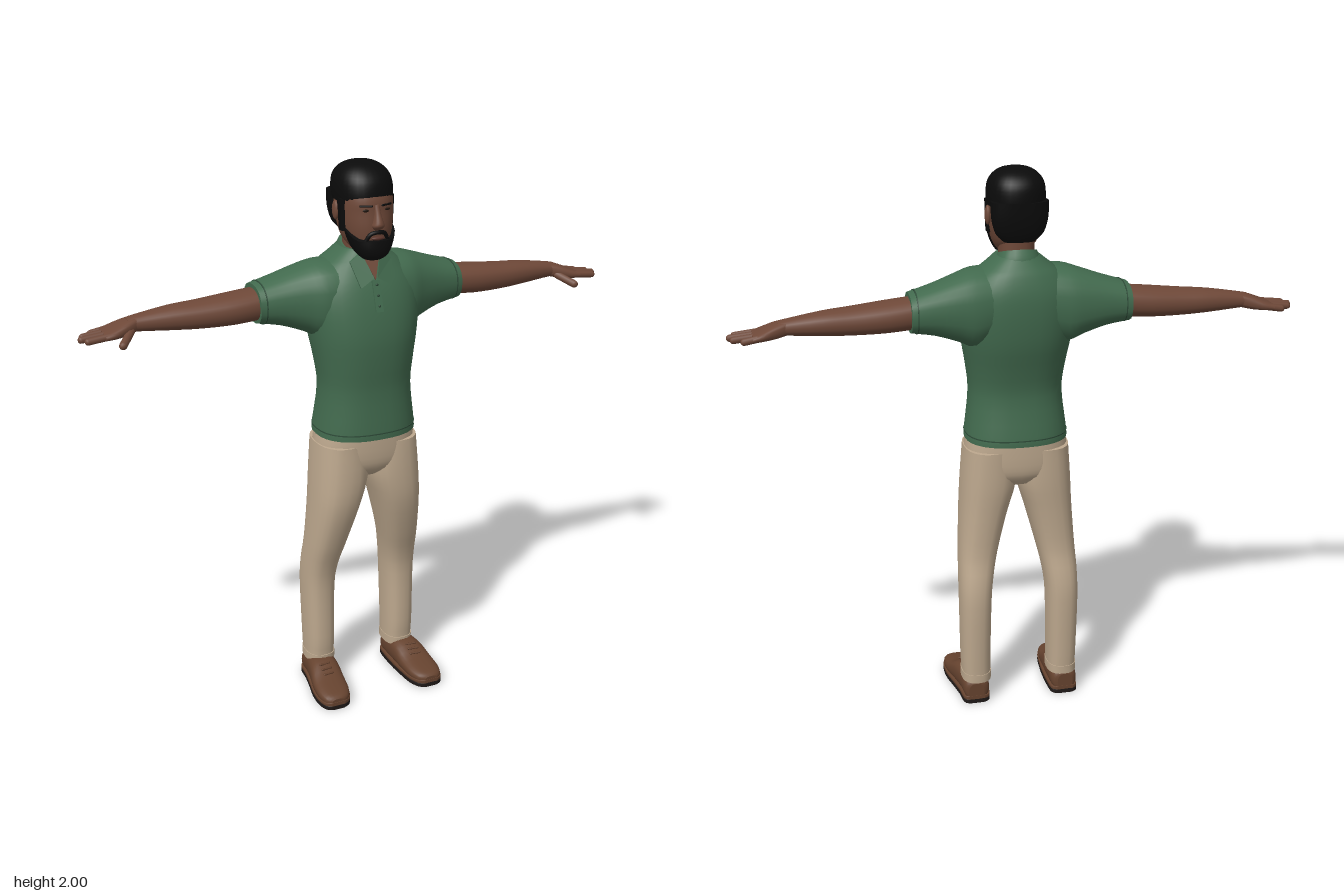
import * as THREE from 'three';

const mat = (name, color) => {
  const m = new THREE.MeshStandardMaterial({ color });
  m.name = name;
  return m;
};

// Smooth interpolation between four neighbouring values
const spline = (p, q, r, s, t) =>
  0.5 * (2 * q + (r - p) * t + (2 * p - 5 * q + 4 * r - s) * t * t + (3 * q - p - 3 * r + s) * t * t * t);

// Closed skin over cross-sections. Row: [position on axis, aMin, aMax, bMin, bMax],
// (a, b) being (x, z) for axis y, (y, z) for axis x and (x, y) for axis z.
function loft(axis, rows, { n = 2.3, segs = 24, steps = 3, warp } = {}) {
  const fine = [];
  const at = (i) => rows[Math.min(Math.max(i, 0), rows.length - 1)];
  for (let i = 0; i < rows.length - 1; i++) {
    for (let k = 0; k < steps; k++) {
      fine.push(rows[i].map((v, c) => spline(at(i - 1)[c], v, at(i + 1)[c], at(i + 2)[c], k / steps)));
    }
  }
  fine.push(rows[rows.length - 1]);
  const pos = [], idx = [];
  const put = (t, a, b) => {
    const p = axis === 'y' ? [a, t, b] : axis === 'x' ? [t, a, b] : [a, b, t];
    const v = new THREE.Vector3(...p);
    if (warp) warp(v);
    pos.push(v.x, v.y, v.z);
  };
  const tri = (a, b, c) => (axis === 'y' ? idx.push(a, c, b) : idx.push(a, b, c));
  const power = (v) => Math.sign(v) * Math.abs(v) ** (2 / n);
  const ring = ([t, a0, a1, b0, b1]) => {
    for (let j = 0; j < segs; j++) {
      const w = (j / segs) * Math.PI * 2;
      put(t, (a0 + a1) / 2 + (a1 - a0) / 2 * power(Math.cos(w)), (b0 + b1) / 2 + (b1 - b0) / 2 * power(Math.sin(w)));
    }
  };
  fine.forEach(ring);
  for (let i = 0; i < fine.length - 1; i++) {
    for (let j = 0; j < segs; j++) {
      const p = i * segs + j, q = i * segs + (j + 1) % segs;
      tri(p, q, p + segs);
      tri(q, q + segs, p + segs);
    }
  }
  [fine[0], fine[fine.length - 1]].forEach((r, end) => {
    const s = pos.length / 3;
    ring(r);
    put(r[0], (r[1] + r[2]) / 2, (r[3] + r[4]) / 2);
    for (let j = 0; j < segs; j++) {
      const p = s + j, q = s + (j + 1) % segs;
      end ? tri(s + segs, p, q) : tri(s + segs, q, p);
    }
  });
  const g = new THREE.BufferGeometry();
  g.setAttribute('position', new THREE.Float32BufferAttribute(pos, 3));
  g.setIndex(idx);
  g.computeVertexNormals();
  return g;
}

// Rows symmetric in x: [y, halfWidth, zBack, zFront]
const body = (rows, opt) => loft('y', rows.map(([y, w, b, f]) => [y, -w, w, b, f]), opt);

const ball = (x, y, z, rx, ry, rz) => new THREE.SphereGeometry(1, 16, 10).scale(rx, ry, rz).translate(x, y, z);

// Capsule between two points
function finger(a, b, r) {
  const p = new THREE.Vector3(...a), d = new THREE.Vector3(...b).sub(p);
  const g = new THREE.CapsuleGeometry(r, d.length(), 4, 8);
  g.applyQuaternion(new THREE.Quaternion().setFromUnitVectors(new THREE.Vector3(0, 1, 0), d.clone().normalize()));
  return g.translate(p.x + d.x / 2, p.y + d.y / 2, p.z + d.z / 2);
}

// Thin plate that follows the slope of the upper chest
const chestZ = (x, y) => 0.103 - (y > 1.58 ? 0.5 : 0.3) * (y - 1.58) - 3 * x * x;
function plate(points, lift = 0) {
  const shape = new THREE.Shape(points.map(([x, y]) => new THREE.Vector2(x, y)));
  const g = new THREE.ExtrudeGeometry(shape, { depth: 0.007, bevelEnabled: false });
  const p = g.attributes.position;
  for (let i = 0; i < p.count; i++) p.setZ(i, p.getZ(i) + lift + chestZ(p.getX(i), p.getY(i)));
  g.computeVertexNormals();
  return g;
}

function mirrored(geo) {
  const g = geo.clone();
  if (!g.index) g.setIndex([...Array(g.attributes.position.count).keys()]);
  g.scale(-1, 1, 1);
  const a = g.index.array;
  for (let i = 0; i < a.length; i += 3) [a[i], a[i + 1]] = [a[i + 1], a[i]];
  return g;
}

export function createModel() {
  const skin = mat('skin', 0x6e4838), hair = mat('hair', 0x0b0b0b), shirt = mat('shirt green', 0x426a4e);
  const seam = mat('shirt seam', 0x2f4c39), khaki = mat('trouser khaki', 0xbda88e), leather = mat('shoe leather', 0x66432f);
  const rubber = mat('sole', 0x1f1917), lip = mat('lips', 0x5a352c), eye = mat('eyes', 0x21160f);
  const model = new THREE.Group();
  const add = (name, geo, m) => {
    const mesh = new THREE.Mesh(geo, m);
    mesh.name = name;
    model.add(mesh);
  };
  const pair = (name, geo, m) => {
    add(name + 'Left', geo, m);
    add(name + 'Right', mirrored(geo), m);
  };

  // Shirt
  add('shirtBody', body([
    [1.03, 0.185, -0.165, 0.14], [1.065, 0.182, -0.162, 0.139], [1.2, 0.167, -0.14, 0.13], [1.3, 0.177, -0.155, 0.137],
    [1.4, 0.194, -0.18, 0.14], [1.5, 0.205, -0.19, 0.125], [1.58, 0.195, -0.186, 0.1], [1.64, 0.15, -0.168, 0.07],
    [1.67, 0.112, -0.15, 0.055], [1.7, 0.075, -0.128, 0.04]], { n: 2.4, segs: 32 }), shirt);
  add('hemSeam', body([[1.05, 0.185, -0.165, 0.1415], [1.054, 0.185, -0.165, 0.1415]], { n: 2.4, segs: 32, steps: 1 }), seam);
  pair('sleeve', loft('x', [
    [0.08, 1.42, 1.66, -0.17, 0.08], [0.16, 1.388, 1.659, -0.18, 0.075], [0.22, 1.412, 1.642, -0.178, 0.05],
    [0.3, 1.44, 1.615, -0.172, 0.025], [0.385, 1.455, 1.59, -0.166, 0.008]], { n: 2.4 }), shirt);
  pair('sleeveSeam', loft('x', [[0.362, 1.4505, 1.599, -0.1685, 0.0135], [0.366, 1.4505, 1.598, -0.1685, 0.0135]],
    { n: 2.4, steps: 1 }), seam);
  add('collarBand', body([[1.675, 0.088, -0.137, 0.055], [1.7, 0.08, -0.13, 0.05], [1.73, 0.067, -0.115, 0.032]],
    { warp: (v) => { v.y -= 0.3 * (v.z + 0.12); } }), shirt);
  add('openNeck', plate([[-0.034, 1.688], [0, 1.605], [0.034, 1.688]]), skin);
  pair('collarFlap', plate([[0.006, 1.612], [0.058, 1.582], [0.078, 1.665], [0.036, 1.695]], 0.005), shirt);
  add('placket', plate([[-0.014, 1.5], [0.014, 1.5], [0.014, 1.605], [-0.014, 1.605]]), shirt);
  for (const y of [1.52, 1.555, 1.59]) add('button', ball(0, y, chestZ(0, y) + 0.008, 0.005, 0.005, 0.003), seam);

  // Arms and hands
  pair('arm', loft('x', [
    [0.34, 1.47, 1.58, -0.15, -0.008], [0.46, 1.461, 1.568, -0.155, -0.005], [0.58, 1.461, 1.556, -0.15, -0.018],
    [0.68, 1.466, 1.548, -0.145, -0.035], [0.8, 1.475, 1.53, -0.13, -0.058], [0.83, 1.475, 1.523, -0.133, -0.052]]), skin);
  pair('palm', loft('x', [
    [0.8, 1.477, 1.528, -0.128, -0.06], [0.84, 1.468, 1.518, -0.14, -0.044], [0.88, 1.465, 1.502, -0.151, -0.034],
    [0.915, 1.464, 1.489, -0.151, -0.036]], { n: 2.8 }), skin);
  [[-0.138, 0.943], [-0.109, 0.977], [-0.08, 0.988], [-0.051, 0.972]].forEach(([z, tip]) =>
    pair('finger', finger([0.89, 1.481, z], [tip, 1.472, z], 0.0125), skin));
  pair('thumb', finger([0.825, 1.485, -0.06], [0.868, 1.458, -0.006], 0.0145), skin);

  // Trousers
  add('trouserSeat', body([
    [0.865, 0.07, -0.1, 0.06], [0.9, 0.16, -0.13, 0.1], [0.95, 0.19, -0.14, 0.115], [1.04, 0.18, -0.14, 0.118]], { n: 2.5 }), khaki);
  pair('trouserLeg', loft('y', [
    [0.09, 0.112, 0.216, -0.135, 0.002], [0.13, 0.111, 0.217, -0.137, 0.004], [0.2, 0.11, 0.219, -0.141, 0.009],
    [0.4, 0.106, 0.222, -0.15, 0.01], [0.5, 0.096, 0.221, -0.142, 0.027], [0.6, 0.075, 0.216, -0.124, 0.062],
    [0.75, 0.036, 0.207, -0.127, 0.106], [0.87, 0.002, 0.2, -0.135, 0.116], [1, 0, 0.19, -0.137, 0.112]], { n: 2.5 }), khaki);
  pair('trouserCuff', loft('y', [[0.09, 0.109, 0.219, -0.138, 0.005], [0.122, 0.109, 0.219, -0.139, 0.007]],
    { n: 2.5, steps: 1 }), khaki);

  // Shoes
  const shoe = [
    [-0.124, 0.142, 0.2, 0.012, 0.08], [-0.11, 0.122, 0.216, 0.012, 0.097], [-0.05, 0.117, 0.222, 0.012, 0.112],
    [0.02, 0.117, 0.235, 0.012, 0.11], [0.08, 0.121, 0.247, 0.012, 0.08], [0.14, 0.128, 0.249, 0.012, 0.064],
    [0.18, 0.145, 0.238, 0.012, 0.053], [0.194, 0.168, 0.218, 0.012, 0.042]];
  pair('shoe', loft('z', shoe, { n: 2.6 }), leather);
  pair('shoeWelt', loft('z', shoe.map(([z, a, b]) => [z * 1.01, a - 0.002, b + 0.002, 0.016, 0.03]), { n: 8 }), leather);
  pair('sole', loft('z', shoe.map(([z, a, b]) => [z * 1.01, a - 0.002, b + 0.002, 0, 0.017]), { n: 8 }), rubber);
  for (const [z, y] of [[0.035, 0.104], [0.055, 0.094], [0.075, 0.084]]) {
    pair('lace', finger([0.163, y, z], [0.2, y, z + 0.004], 0.004), leather);
  }

  // Head and neck
  add('neck', body([[1.6, 0.07, -0.11, 0.035], [1.68, 0.061, -0.1, 0.032], [1.8, 0.063, -0.098, 0.04]]), skin);
  add('head', body([
    [1.685, 0.035, 0, 0.085], [1.705, 0.056, -0.03, 0.1], [1.74, 0.077, -0.09, 0.11], [1.79, 0.089, -0.113, 0.113],
    [1.84, 0.094, -0.125, 0.108], [1.875, 0.095, -0.128, 0.106], [1.91, 0.092, -0.126, 0.092], [1.95, 0.075, -0.11, 0.06],
    [1.97, 0.04, -0.07, 0.02]], { segs: 32 }), skin);
  add('nose', body([
    [1.785, 0.016, 0.085, 0.122], [1.797, 0.022, 0.085, 0.136], [1.812, 0.017, 0.085, 0.135], [1.84, 0.011, 0.085, 0.122],
    [1.868, 0.011, 0.08, 0.11]], { segs: 12 }), skin);
  pair('ear', ball(0.097, 1.833, -0.022, 0.011, 0.034, 0.02), skin);
  pair('eye', ball(0.037, 1.849, 0.1, 0.014, 0.005, 0.004), eye);
  pair('eyebrow', finger([0.02, 1.864, 0.105], [0.055, 1.864, 0.092], 0.004), hair);
  add('mouth', ball(0, 1.754, 0.112, 0.024, 0.007, 0.009), lip);

  // Hair and beard
  add('hairTop', body([
    [1.868, 0.097, -0.14, 0.1], [1.9, 0.1, -0.142, 0.1], [1.94, 0.096, -0.137, 0.09], [1.97, 0.079, -0.115, 0.064],
    [1.989, 0.05, -0.08, 0.03], [1.997, 0.012, -0.042, -0.01]], { segs: 32 }), hair);
  add('hairBack', body([
    [1.75, 0.055, -0.107, -0.04], [1.78, 0.083, -0.124, -0.035], [1.83, 0.097, -0.137, -0.032], [1.89, 0.099, -0.142, -0.03]],
    { n: 2.6 }), hair);
  pair('sideburn', loft('y', [[1.77, 0.07, 0.096, -0.005, 0.034], [1.88, 0.07, 0.099, -0.015, 0.04]], { n: 4, segs: 16 }), hair);
  add('beard', body([
    [1.675, 0.032, 0.025, 0.098], [1.69, 0.055, -0.01, 0.117], [1.715, 0.076, -0.05, 0.123], [1.745, 0.09, -0.06, 0.119]],
    { segs: 32, warp: (v) => { v.y += 8 * (v.y - 1.675) * Math.min(0.1, Math.max(0, 0.1 - v.z)); } }), hair);
  const moustache = new THREE.CatmullRomCurve3([[-0.042, 1.742, 0.1], [-0.025, 1.77, 0.11], [0, 1.775, 0.114],
    [0.025, 1.77, 0.11], [0.042, 1.742, 0.1]].map((p) => new THREE.Vector3(...p)));
  add('moustache', new THREE.TubeGeometry(moustache, 20, 0.0075, 8), hair);

  return model;
}
